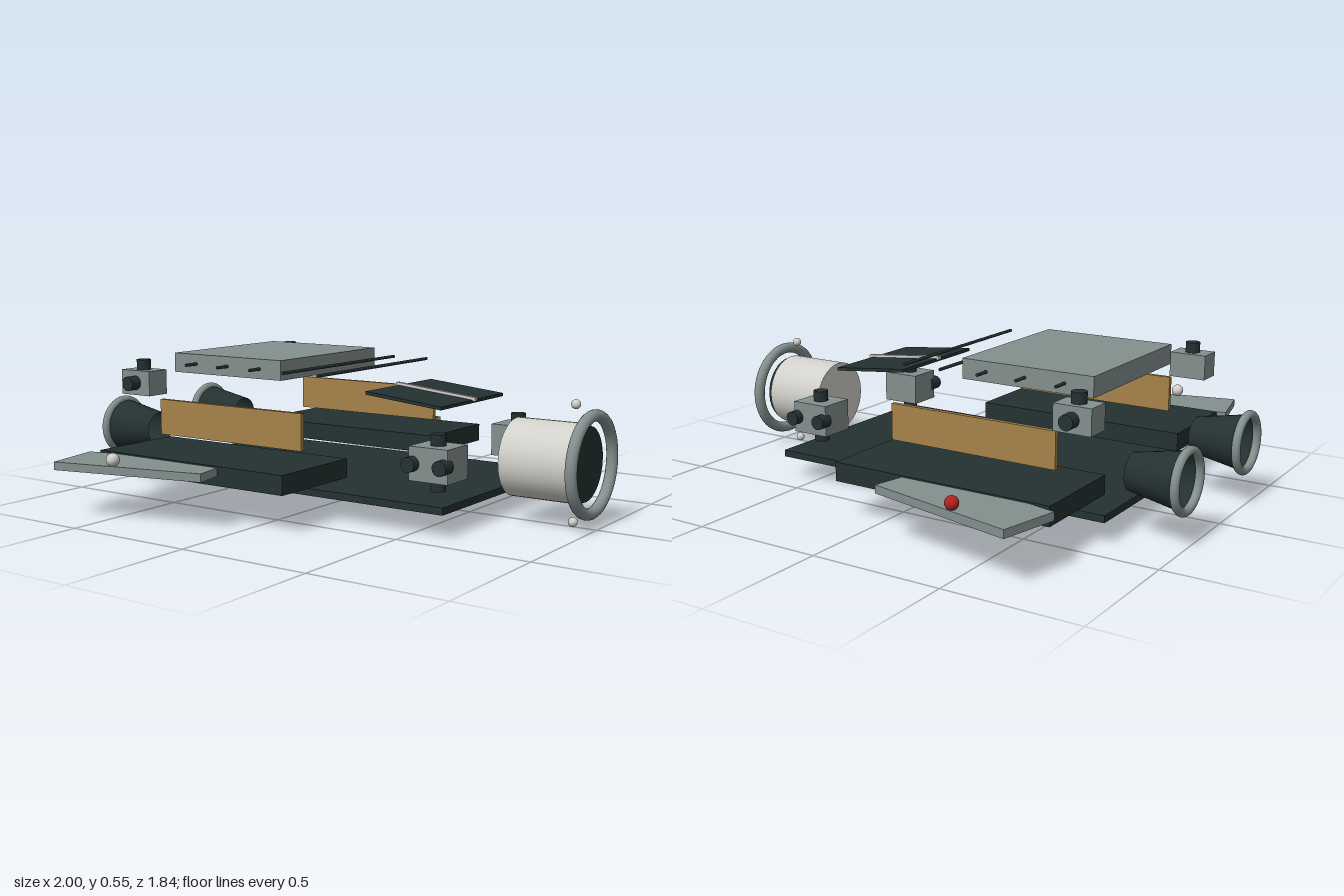
import * as THREE from 'three';

const mat = (name, color, side = THREE.FrontSide) => {
  const m = new THREE.MeshStandardMaterial({ color, side });
  m.name = name;
  return m;
};

export function createModel() {
  const root = new THREE.Group();
  root.name = 'spacecraft';
  const dark = mat('darkSlate', 0x243131, THREE.DoubleSide);
  const grey = mat('grey', 0x83908e);
  const white = mat('offWhite', 0xd2d0ca);
  const ochre = mat('ochre', 0xa6824a);
  const red = mat('red', 0xb02222);

  const add = (name, geo, material, x, y, z, parent = root) => {
    const m = new THREE.Mesh(geo, material);
    m.name = name;
    m.position.set(x, y, z);
    parent.add(m);
    return m;
  };
  const box = (name, material, w, h, d, x, y, z, parent) =>
    add(name, new THREE.BoxGeometry(w, h, d), material, x, y, z, parent);
  const ball = (name, material, r, x, y, z) =>
    add(name, new THREE.SphereGeometry(r, 20, 14), material, x, y, z);
  // cylinder along a chosen axis; rTop lies at the positive end
  const cyl = (name, material, axis, rTop, rBottom, len, x, y, z, open = false) => {
    const g = new THREE.CylinderGeometry(rTop, rBottom, len, 32, 1, open);
    if (axis === 'x') g.rotateZ(-Math.PI / 2);
    if (axis === 'z') g.rotateX(Math.PI / 2);
    return add(name, g, material, x, y, z);
  };
  const ring = (name, R, r, x, y, z) =>
    add(name, new THREE.TorusGeometry(R, r, 14, 48).rotateY(Math.PI / 2), grey, x, y, z);

  // Hull plate and raised cargo tray with cross rods
  box('hullPlate', dark, 1.39, 0.026, 0.83, -0.065, 0.097, 0);
  box('cargoTray', grey, 0.525, 0.075, 0.62, -0.392, 0.51, 0);
  for (let i = 0; i < 5; i++)
    cyl('crossRod', dark, 'z', 0.006, 0.006, 0.74, -0.543 + i * 0.1565, 0.51, 0);

  // Tilted window panel with a centre strip
  const canopy = new THREE.Group();
  canopy.name = 'canopy';
  canopy.position.set(0.35, 0.427, 0);
  canopy.rotation.z = -0.1;
  root.add(canopy);
  box('canopyPanel', dark, 0.318, 0.012, 0.455, 0, 0, 0, canopy);
  box('canopyStrip', white, 0.34, 0.014, 0.016, 0, 0.009, 0, canopy);

  // Docking port at the nose end
  cyl('dockingTunnel', white, 'x', 0.141, 0.141, 0.253, 0.8135, 0.228, 0);
  cyl('dockingHatch', dark, 'x', 0.133, 0.133, 0.02, 0.947, 0.228, 0);
  ring('dockingRing', 0.171, 0.021, 0.976, 0.228, 0);
  for (const s of [-1, 1]) ball('dockingLight', white, 0.017, 0.91, 0.226 + s * 0.207, 0);

  // Mirrored side parts
  for (const s of [-1, 1]) {
    box('wing', dark, 0.86, 0.07, 0.38, -0.27, 0.175, s * 0.488);
    box('wingTip', grey, 0.595, 0.03, 0.226, -0.415, 0.19, s * 0.747).rotation.y = s * 0.22;
    ball('navigationLight', s < 0 ? red : white, 0.024, -0.45, 0.227, s * 0.857);
    box('sidePanel', ochre, 0.67, 0.135, 0.018, -0.26, 0.318, s * 0.45);

    // Rear thruster block
    box('rearThrusterBlock', grey, 0.142, 0.094, 0.095, -0.679, 0.447, s * 0.457);
    cyl('rearThrusterUp', dark, 'y', 0.027, 0.027, 0.06, -0.679, 0.503, s * 0.457);
    cyl('rearThrusterSide', dark, 'z', 0.027, 0.027, 0.06, -0.679, 0.447, s * 0.518);

    // Front thruster block
    box('frontThrusterBlock', grey, 0.154, 0.12, 0.138, 0.54, 0.236, s * 0.295);
    for (const t of [-1, 1]) {
      cyl('frontThrusterVertical', dark, 'y', 0.028, 0.028, 0.06, 0.54, 0.236 + t * 0.07, s * 0.295);
      cyl('frontThrusterSide', dark, 'z', 0.027, 0.027, 0.055, 0.54 + t * 0.062, 0.236, s * 0.37);
    }

    // Main engine bell
    cyl('engineBell', dark, 'x', 0.067, 0.105, 0.2, -0.885, 0.228, s * 0.265, true);
    ring('engineRing', 0.104, 0.016, -0.984, 0.228, s * 0.265);
  }
  return root;
}
